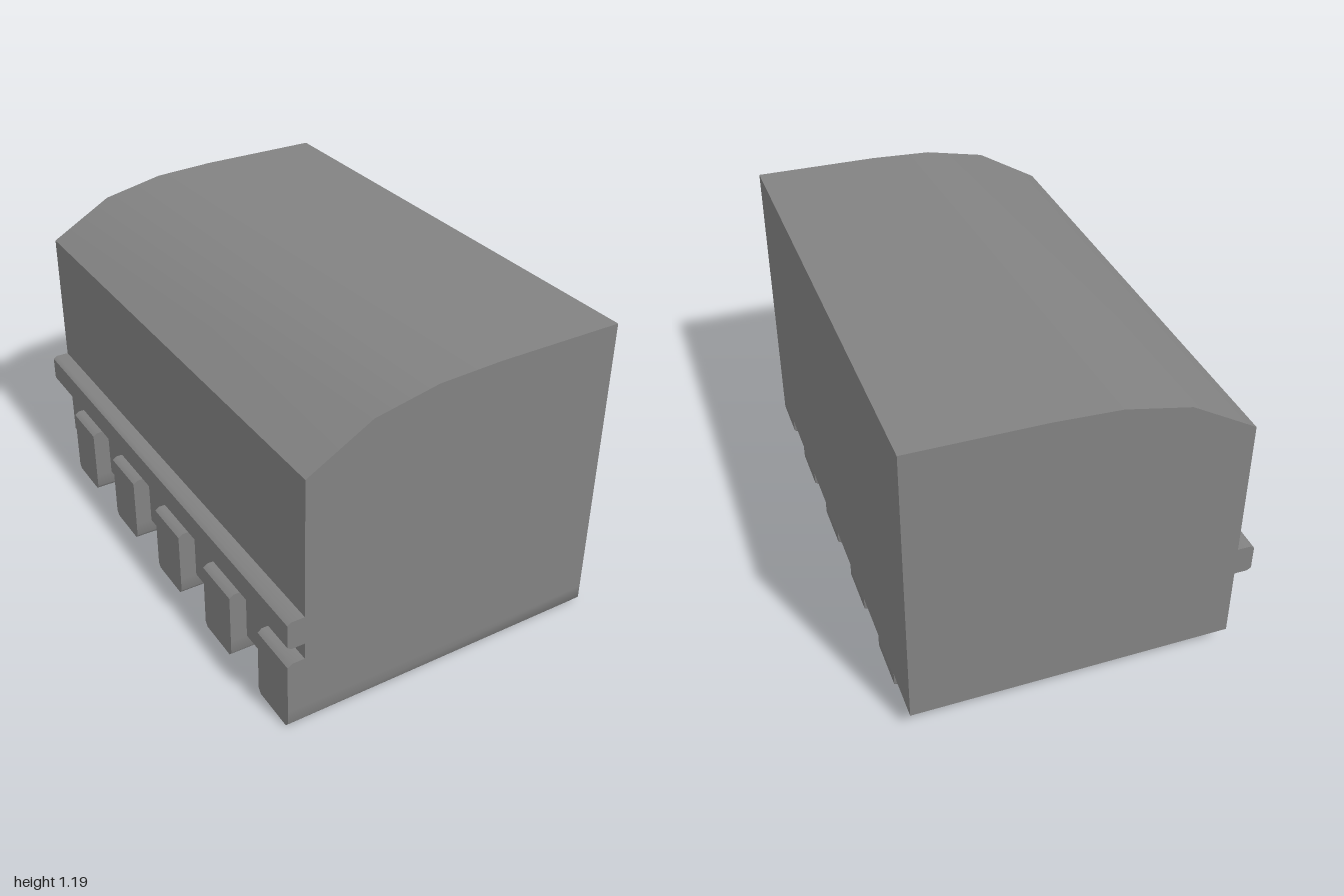
import * as THREE from 'three';
import { toCreasedNormals } from 'three/addons/utils/BufferGeometryUtils.js';

const CREASE = 0.8; // chamfers blend into their neighbouring face, corners stay sharp
const LEFT = -0.637, RIGHT = 0.636, FLOOR = 0.07, RIB_WIDTH = 0.2;

// Extrudes an x/y outline between two z positions.
function extrudeOutline(points, zMin, zMax) {
  const shape = new THREE.Shape(points.map(([x, y]) => new THREE.Vector2(x, y)));
  const geometry = new THREE.ExtrudeGeometry(shape, { depth: zMax - zMin, bevelEnabled: false });
  geometry.translate(0, 0, zMin);
  return toCreasedNormals(geometry, CREASE);
}

// Flat bar whose lower edges are chamfered at the front, the back and the +x end.
function runnerGeometry(zCentre) {
  const geometry = new THREE.BoxGeometry(RIGHT - LEFT, FLOOR, RIB_WIDTH, 1, 2, 1);
  geometry.translate((LEFT + RIGHT) / 2, FLOOR / 2, 0);
  const position = geometry.attributes.position;
  for (let i = 0; i < position.count; i++) {
    const x = position.getX(i), y = position.getY(i), z = position.getZ(i);
    if (y < 0.01) {
      // bottom ring moves inwards
      position.setXYZ(i, x > 0 ? x - 0.014 : x, 0, z - Math.sign(z) * 0.014);
    } else if (y < 0.05) {
      // middle ring becomes the top of the chamfer
      position.setY(i, 0.018);
    }
  }
  geometry.translate(0, 0, zCentre);
  return toCreasedNormals(geometry, CREASE);
}

export function createModel() {
  const model = new THREE.Group();
  model.name = 'ribbedBlock';
  const material = new THREE.MeshStandardMaterial({ color: 0x828282 });
  const add = (parent, name, geometry) => {
    const mesh = new THREE.Mesh(geometry, material);
    mesh.name = name;
    parent.add(mesh);
  };

  // Main body with a roof that curves down to one side
  add(model, 'body', extrudeOutline([
    [-0.572, FLOOR], [RIGHT, FLOOR], [RIGHT, 1.187], [0.15, 1.187],
    [-0.09, 1.177], [-0.33, 1.128], [-0.572, 0.99],
  ], -1, 1));

  // Long chamfered rail along the side
  add(model, 'sideRail', extrudeOutline([
    [-0.56, 0.345], [-0.56, 0.457], [-0.622, 0.457],
    [LEFT, 0.447], [LEFT, 0.355], [-0.622, 0.345],
  ], -1, 1));

  // Five ribs: a runner underneath and a post standing on its end beside the body
  for (let i = 0; i < 5; i++) {
    const zMax = 1 - i * 0.4;
    const rib = new THREE.Group();
    rib.name = `rib${i + 1}`;
    add(rib, 'runner', runnerGeometry(zMax - RIB_WIDTH / 2));
    add(rib, 'post', extrudeOutline([
      [LEFT, FLOOR], [-0.56, FLOOR], [-0.56, 0.28], [-0.62, 0.28], [LEFT, 0.268],
    ], zMax - RIB_WIDTH, zMax));
    model.add(rib);
  }

  return model;
}
